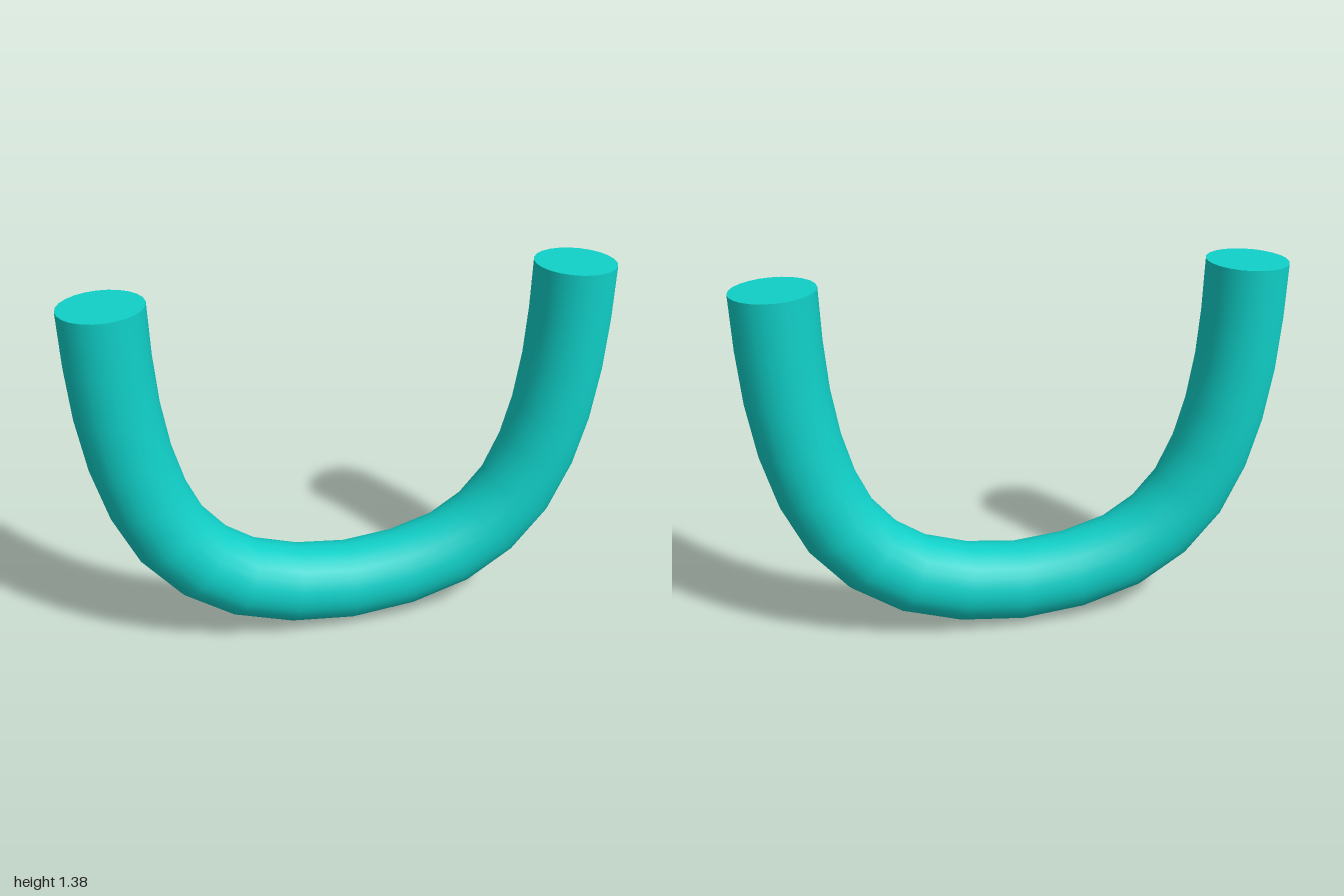
import * as THREE from 'three';

const RADIUS = 0.151;
const SIDES = 24;

// Right half of the centreline, from the bottom of the bend up to the tip
const HALF = [
  [0.215, 0.174], [0.41, 0.234], [0.56, 0.333], [0.672, 0.465], [0.749, 0.63],
  [0.797, 0.80], [0.828, 0.99], [0.843, 1.18], [0.849, 1.377],
];

export function createModel() {
  const group = new THREE.Group();
  group.name = 'bentTube';
  const material = new THREE.MeshStandardMaterial({ color: 0x10d0c8 });

  // Mirror the half into a full U
  const right = HALF.map(([x, y]) => new THREE.Vector3(x, y, 0));
  const left = HALF.map(([x, y]) => new THREE.Vector3(-x, y, 0)).reverse();
  const curve = new THREE.CatmullRomCurve3([...left, new THREE.Vector3(0, 0.152, 0), ...right]);

  // One ring of the tube on each control point
  curve.getPointAt = (t, target) => curve.getPoint(t, target);
  curve.getTangentAt = (t, target) => curve.getTangent(t, target);

  const tube = new THREE.Mesh(
    new THREE.TubeGeometry(curve, HALF.length * 2, RADIUS, SIDES, false), material);
  tube.name = 'curvedTube';
  group.add(tube);

  // Flat discs closing both tips
  for (const [t, sign, name] of [[0, -1, 'rightEndCap'], [1, 1, 'leftEndCap']]) {
    const cap = new THREE.Mesh(new THREE.CircleGeometry(RADIUS, SIDES), material);
    const tip = curve.getPoint(t);
    cap.position.copy(tip);
    cap.up.set(0, 0, 1);
    cap.lookAt(tip.clone().addScaledVector(curve.getTangent(t), sign));
    cap.name = name;
    group.add(cap);
  }
  return group;
}
